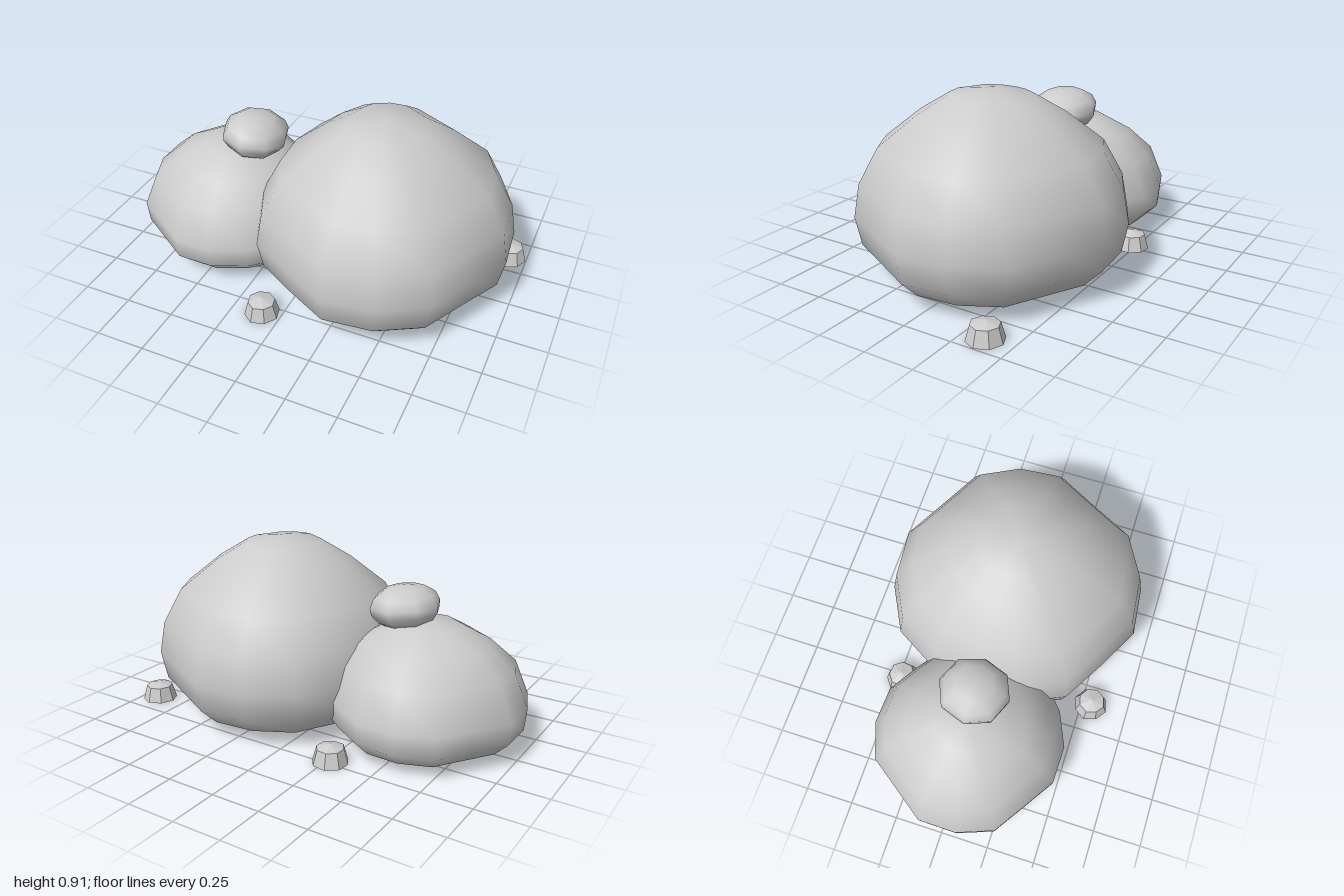
import * as THREE from 'three';
import { mergeVertices } from 'three/addons/utils/BufferGeometryUtils.js';

const stone = new THREE.MeshStandardMaterial({ color: 0xcccccc });
const chipped = new THREE.MeshStandardMaterial({ color: 0xcccccc, flatShading: true });

// Rounded stone: profile rows [r, y] from bottom to top, turned around y,
// with one radius per side so that the outline is uneven.
function stoneMesh(name, profile, radii, startDegrees, material) {
  const n = radii.length;
  let geo = new THREE.LatheGeometry(profile.map(([r, y]) => new THREE.Vector2(r, y)), n);
  const pos = geo.attributes.position;
  for (let i = 0; i <= n; i++) {
    const k = (n - i) % n;
    const a = THREE.MathUtils.degToRad(startDegrees + (k * 360) / n);
    profile.forEach(([r, y], j) => {
      const d = r * radii[k];
      pos.setXYZ(i * profile.length + j, d * Math.cos(a), y, d * Math.sin(a));
    });
  }
  geo.deleteAttribute('uv');
  geo.deleteAttribute('normal');
  geo = mergeVertices(geo, 1e-5);
  geo.computeVertexNormals();
  const mesh = new THREE.Mesh(geo, material);
  mesh.name = name;
  return mesh;
}

export function createModel() {
  const group = new THREE.Group();
  group.name = 'rockCluster';

  // Large boulder
  const large = stoneMesh('largeBoulder',
    [[0, 0.005], [0.3, 0.008], [0.58, 0.015], [0.81, 0.06], [0.955, 0.155], [1, 0.3],
      [0.955, 0.465], [0.81, 0.64], [0.53, 0.787], [0.3, 0.88], [0, 0.913]],
    [0.653, 0.602, 0.654, 0.658, 0.659, 0.61, 0.65, 0.63,
      0.62, 0.63, 0.67, 0.666, 0.662, 0.61, 0.66, 0.656], 5.5, stone);
  large.position.x = 0.315;
  group.add(large);

  // Smaller boulder leaning against it
  const small = stoneMesh('smallBoulder',
    [[0, 0.005], [0.3, 0.008], [0.61, 0.015], [0.84, 0.05], [0.98, 0.12], [1, 0.23],
      [0.86, 0.4], [0.61, 0.51], [0.33, 0.585], [0, 0.612]],
    [0.49, 0.49, 0.48, 0.487, 0.488, 0.457, 0.5, 0.498,
      0.5, 0.46, 0.497, 0.493, 0.488, 0.46, 0.49, 0.49], 12.5, stone);
  small.position.x = -0.51;
  group.add(small);

  // Stone resting on the smaller boulder
  const top = stoneMesh('topStone',
    [[0, -0.105], [0.5, -0.095], [0.8, -0.06], [0.97, -0.02], [1, 0.015],
      [0.88, 0.06], [0.55, 0.097], [0, 0.112]],
    [0.167, 0.172, 0.172, 0.172, 0.17, 0.177, 0.178, 0.178], 0, stone);
  top.position.set(-0.393, 0.648, 0);
  top.rotation.z = -0.1;
  group.add(top);

  // Faceted pebbles around the base
  [[-0.1, 0.55, 10], [-0.27, -0.478, 30], [0.908, -0.362, 0]].forEach(([x, z, turn], i) => {
    const pebble = stoneMesh('pebble' + (i + 1),
      [[0, 0], [1, 0], [0.76, 0.075], [0, 0.094]],
      [0.09, 0.088, 0.092, 0.087, 0.091, 0.089, 0.09, 0.088], turn, chipped);
    pebble.position.set(x, 0, z);
    group.add(pebble);
  });

  return group;
}
